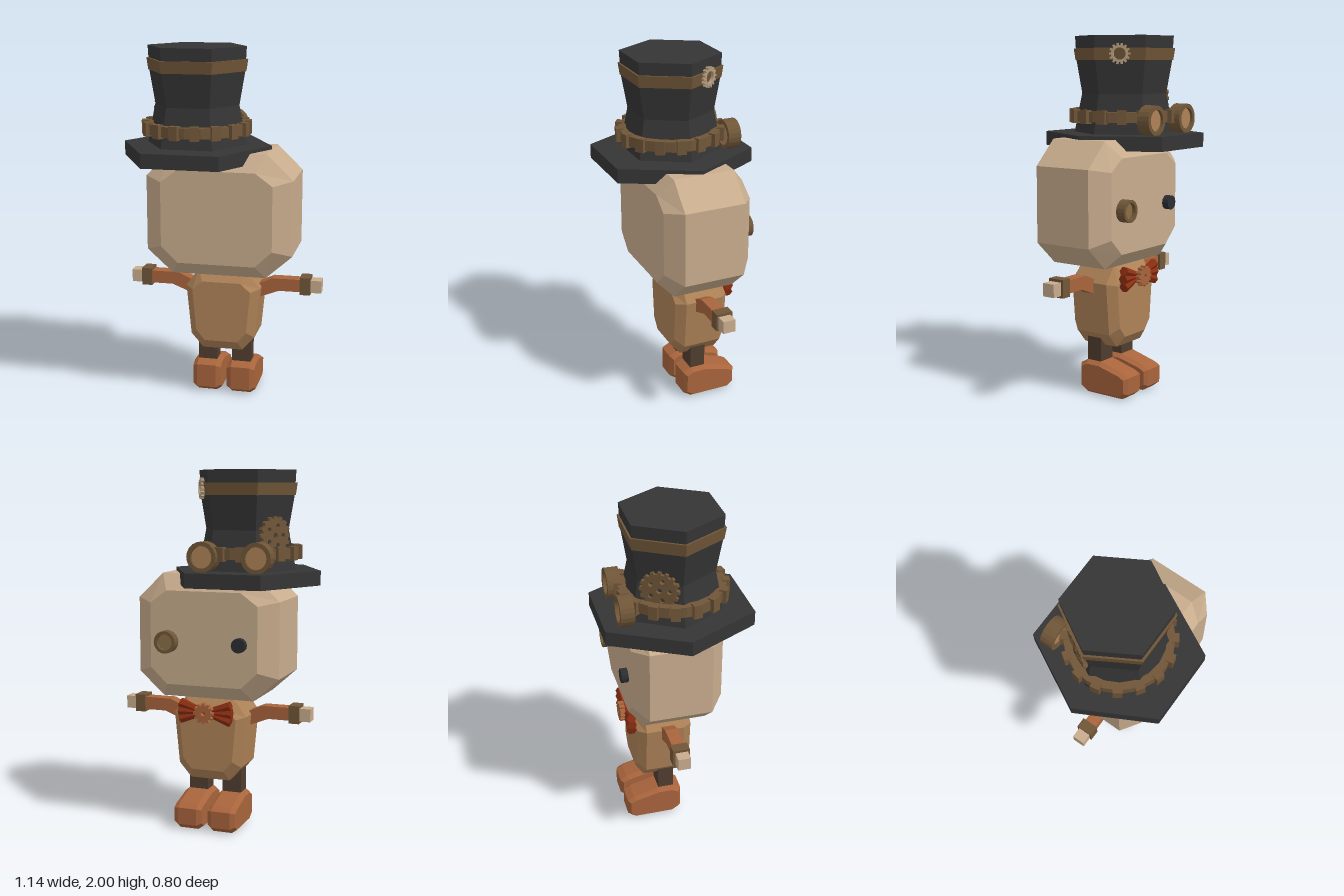
import * as THREE from 'three';

const mat = (name, color) => {
  const m = new THREE.MeshStandardMaterial({ color });
  m.name = name;
  return m;
};

// Closed solid from 2D rings [[u,v]...] (counter-clockwise) stacked along w
function loft(rings, heights, map) {
  const pos = [];
  const n = rings[0].length;
  const p = (i, j) => map(...rings[i][j % n], heights[i]);
  const tri = (...pts) => pts.forEach(q => pos.push(...q));
  const last = rings.length - 1;
  for (let i = 0; i < last; i++)
    for (let j = 0; j < n; j++) {
      tri(p(i, j), p(i, j + 1), p(i + 1, j + 1));
      tri(p(i, j), p(i + 1, j + 1), p(i + 1, j));
    }
  for (let j = 1; j < n - 1; j++) {
    tri(p(0, 0), p(0, j + 1), p(0, j));
    tri(p(last, 0), p(last, j), p(last, j + 1));
  }
  const g = new THREE.BufferGeometry();
  g.setAttribute('position', new THREE.Float32BufferAttribute(pos, 3));
  return g;
}

// Mirrored octagon; each half point is [half width, y], from bottom to top
const octagon = (half, cx) => [
  ...half.map(([x, y]) => [cx + x, y]),
  ...half.slice().reverse().map(([x, y]) => [cx - x, y]),
];

// Toothed wheel or plain ring around z, centred on its thickness
function wheel(teeth, r, rIn, depth, tooth = 0, holes = []) {
  const s = new THREE.Shape();
  if (teeth) {
    const pts = [];
    for (let i = 0; i < teeth; i++)
      [[-0.32, 0], [-0.2, tooth], [0.2, tooth], [0.32, 0]].forEach(([f, t]) => {
        const a = (i + f) / teeth * Math.PI * 2;
        pts.push(new THREE.Vector2(Math.cos(a) * (r + t), Math.sin(a) * (r + t)));
      });
    s.setFromPoints(pts);
  } else s.absarc(0, 0, r, 0, Math.PI * 2, false);
  [[0, 0, rIn], ...holes].forEach(([x, y, hr]) =>
    s.holes.push(new THREE.Path().absarc(x, y, hr, 0, Math.PI * 2, true)));
  return new THREE.ExtrudeGeometry(s, { depth, bevelEnabled: false, curveSegments: 10 })
    .translate(0, 0, -depth / 2);
}

export function createModel() {
  const skin = mat('skin', 0xc8ac8d), vest = mat('vest tan', 0xae8257);
  const rust = mat('rust leather', 0xa8643c), trouser = mat('trouser brown', 0x503d2f);
  const felt = mat('hat felt', 0x353535), brass = mat('dark brass', 0x705638);
  const pale = mat('pale metal', 0xb39c7e), red = mat('bow red', 0x8c2e12);
  const black = mat('eye black', 0x2b2d31), glass = mat('eyepiece glass', 0x8a6e45);

  const model = new THREE.Group();
  const add = (name, geo, material, x = 0, y = 0, z = 0, parent = model) => {
    const g = geo.index ? geo.toNonIndexed() : geo;
    g.computeVertexNormals(); // faceted normals
    const m = new THREE.Mesh(g, material);
    m.name = name;
    m.position.set(x, y, z);
    parent.add(m);
    return m;
  };
  const box = (w, h, d) => new THREE.BoxGeometry(w, h, d);
  const disc = (r, d, n = 20) => new THREE.CylinderGeometry(r, r, d, n).rotateX(Math.PI / 2);
  const CX = 0.013;
  const alongZ = (x, y, z) => [x, y, z];

  // Head and body: bevelled blocks
  const headMid = octagon([[0.265, 0.75], [0.41, 0.88], [0.41, 1.3], [0.265, 1.44]], CX);
  const headEnd = octagon([[0.215, 0.83], [0.31, 0.92], [0.31, 1.28], [0.215, 1.35]], CX);
  add('head', loft([headEnd, headMid, headMid, headEnd], [-0.257, -0.18, 0.17, 0.25], alongZ), skin);
  const bodyMid = octagon([[0.115, 0.28], [0.185, 0.36], [0.213, 0.65], [0.14, 0.75]], CX);
  const bodyEnd = octagon([[0.095, 0.34], [0.145, 0.4], [0.167, 0.64], [0.11, 0.69]], CX);
  add('body', loft([bodyEnd, bodyMid, bodyMid, bodyEnd], [-0.195, -0.15, 0.07, 0.12], alongZ), vest);

  // Arms, cuffs, hands, legs and shoes on both sides
  const shoeMid = [[0, -0.22], [0.03, -0.258], [0.125, -0.258], [0.147, -0.22], [0.19, -0.07],
    [0.19, 0.02], [0.165, 0.065], [0.03, 0.065], [0, 0.02]];
  const shoeSide = shoeMid.map(([y, z]) => [0.09 + (y - 0.09) * 0.8, -0.1 + (z + 0.1) * 0.9]);
  const armLine = [[0.13, 0.56], [0.21, 0.585], [0.325, 0.63], [0.45, 0.63],
    [0.45, 0.702], [0.29, 0.702], [0.21, 0.667], [0.13, 0.63]];
  for (const s of [1, -1]) {
    const side = s > 0 ? 'left' : 'right';
    const shape = new THREE.Shape(armLine.map(([x, y]) => new THREE.Vector2(s * (x - CX), y)));
    const arm = new THREE.ExtrudeGeometry(shape, { depth: 0.072, bevelEnabled: false });
    add(side + 'Arm', arm, rust, CX, 0, -0.061);
    add(side + 'Cuff', box(0.06, 0.1, 0.095), brass, CX + s * 0.463, 0.667, -0.026);
    add(side + 'Hand', box(0.062, 0.072, 0.072), skin, CX + s * 0.523, 0.666, -0.025);
    add(side + 'Leg', box(0.11, 0.2, 0.09), trouser, CX + s * 0.1, 0.25, -0.025);
    const shoe = loft([shoeSide, shoeMid, shoeMid, shoeSide],
      [-0.082, -0.055, 0.055, 0.082], (y, z, x) => [x, y, z]);
    add(side + 'Shoe', shoe, rust, CX + s * 0.1, 0, 0);
  }

  // Eyes: a brass monocle and a small black button
  add('monocleRing', wheel(0, 0.062, 0.045, 0.07), brass, 0.22, 1.07, -0.275);
  add('monocleLens', disc(0.047, 0.03), glass, 0.22, 1.07, -0.272);
  add('buttonEye', disc(0.04, 0.05, 12), black, -0.2, 1.07, -0.27);

  // Bow tie: fanned pleats with a cog knot
  const bow = new THREE.Group();
  bow.name = 'bowTie';
  bow.position.set(CX, 0.678, -0.222);
  model.add(bow);
  for (const s of [1, -1])
    for (const a of [-0.3, 0, 0.3]) {
      const pleat = new THREE.CylinderGeometry(0.028, 0.016, 0.15, 6)
        .translate(0, 0.08, 0).rotateZ(-s * Math.PI / 2 + a);
      add('pleat', pleat, red, 0, 0, 0, bow);
    }
  add('bowCog', wheel(12, 0.046, 0.012, 0.03, 0.012), rust, 0, 0, -0.028, bow);

  // Top hat: six-sided brim, waisted crown and band
  const hat = new THREE.Group();
  hat.name = 'topHat';
  hat.position.set(-0.149, 0, 0);
  model.add(hat);
  const turn = Math.PI / 6;
  const hex = (top, bottom, h) => new THREE.CylinderGeometry(top, bottom, h, 6, 1, false, turn);
  add('brim', hex(0.423, 0.423, 0.08).scale(1, 1, 1.094), felt, 0, 1.42, 0, hat);
  const crownLine = [[0.288, 1.44], [0.24, 1.68], [0.272, 1.865], [0.28, 2], [0, 2]]
    .map(([r, y]) => new THREE.Vector2(r, y));
  add('crown', new THREE.LatheGeometry(crownLine, 6, turn), felt, 0, 0, 0, hat);
  add('hatBand', hex(0.288, 0.278, 0.066), brass, 0, 1.898, 0, hat);

  // Cogged ring around the crown
  add('cogRing', wheel(0, 0.287, 0.245, 0.058).rotateX(Math.PI / 2), brass, 0, 1.555, 0.005, hat);
  for (let i = 0; i < 16; i++) {
    const a = (i + 0.5) / 16 * Math.PI * 2;
    const tooth = add('cogTooth', box(0.05, 0.076, 0.04), brass,
      Math.sin(a) * 0.285, 1.555, 0.005 + Math.cos(a) * 0.285, hat);
    tooth.rotation.y = a;
  }

  // Goggles resting on the brim
  for (const x of [-0.158, 0.147]) {
    add('goggleRing', wheel(0, 0.083, 0.06, 0.075), brass, x, 1.54, -0.287, hat);
    add('goggleLens', disc(0.062, 0.045), vest, x, 1.54, -0.285, hat);
  }

  // Cogs on the two rear slanted crown faces
  const cog = (name, geo, material, s, along, y, out) => {
    const nx = s * Math.cos(turn), nz = -Math.sin(turn);
    const m = add(name, geo, material, nx * out - s * nz * -along, y, nz * out + nx * s * along, hat);
    m.rotation.y = Math.atan2(nx, nz);
  };
  const spokes = [0, 1, 2, 3, 4].map(i =>
    [Math.cos(i * 1.257) * 0.055, Math.sin(i * 1.257) * 0.055, 0.013]);
  cog('bigCog', wheel(16, 0.092, 0.015, 0.025, 0.014, spokes), brass, -1, 0, 1.65, 0.222);
  cog('smallCog', wheel(12, 0.04, 0.009, 0.02, 0.013), pale, -1, 0.07, 1.69, 0.242);
  cog('bandCog', wheel(14, 0.046, 0.033, 0.02, 0.012), pale, 1, 0, 1.9, 0.252);

  return model;
}
